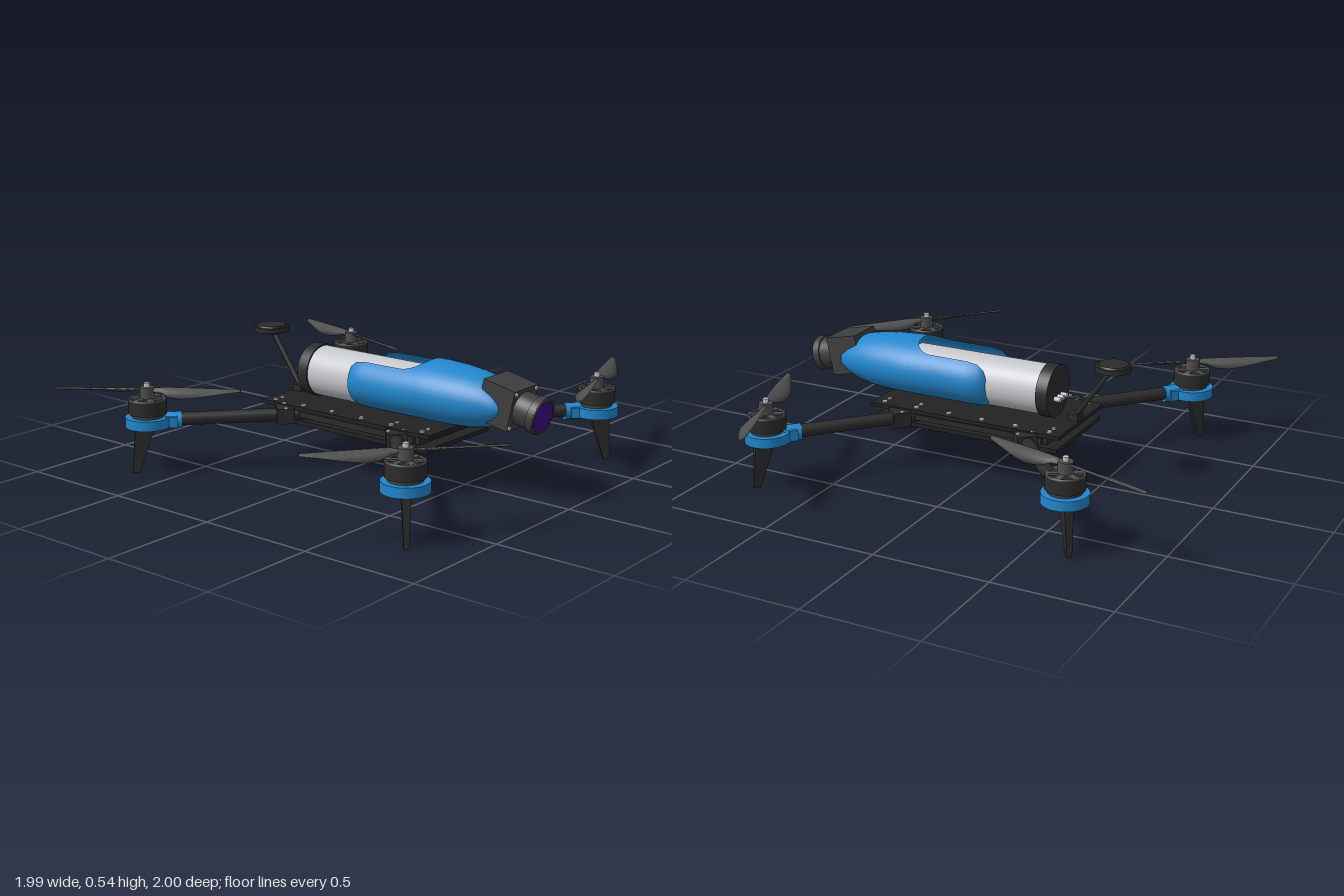
import * as THREE from 'three';

const mat = (name, color, side = THREE.FrontSide) => {
  const m = new THREE.MeshStandardMaterial({ color, side });
  m.name = name;
  return m;
};

export function createModel() {
  const blue = mat('blue', 0x2186cc, THREE.DoubleSide);
  const black = mat('black', 0x2b2b2b);
  const carbon = mat('carbon', 0x222222);
  const grey = mat('grey', 0x505050, THREE.DoubleSide);
  const darkGrey = mat('darkGrey', 0x3e3e3e);
  const silver = mat('silver', 0xc6c7cb);
  const purple = mat('purple', 0x3d0a85);

  const root = new THREE.Group();
  root.name = 'quadcopter';
  root.position.x = -0.035;

  const add = (parent, name, geo, material, x = 0, y = 0, z = 0) => {
    const m = new THREE.Mesh(geo, material);
    m.name = name;
    m.position.set(x, y, z);
    parent.add(m);
    return m;
  };
  const box = (w, h, d) => new THREE.BoxGeometry(w, h, d);
  const cyl = (r, h, n = 32, r2 = r) => new THREE.CylinderGeometry(r, r2, h, n);
  const cylX = (r, h, n = 20) => cyl(r, h, n).rotateZ(Math.PI / 2);
  const cylZ = (r, h, n = 40, r2 = r) => cyl(r, h, n, r2).rotateX(Math.PI / 2);

  // Skin a list of equally long cross-sections
  const loft = (rings, closed) => {
    const n = rings[0].length, pos = rings.flat(2), idx = [];
    for (let i = 0; i < rings.length - 1; i++) {
      for (let j = 0; j < (closed ? n : n - 1); j++) {
        const k = (j + 1) % n, a = i * n + j, b = i * n + k;
        idx.push(a, b, a + n, b, b + n, a + n);
      }
    }
    const g = new THREE.BufferGeometry();
    g.setAttribute('position', new THREE.Float32BufferAttribute(pos, 3));
    g.setIndex(idx);
    g.computeVertexNormals();
    return g;
  };

  // ---- Frame: two plates with a core between them ----
  add(root, 'topPlate', box(0.445, 0.016, 0.895), carbon, 0, 0.257, 0.053);
  add(root, 'frameCore', box(0.38, 0.04, 0.76), black, 0, 0.228, 0.053);
  add(root, 'bottomPlate', box(0.43, 0.018, 0.87), carbon, 0, 0.195, 0.053);
  for (const s of [-1, 1]) {
    add(root, 'sideRail', box(0.018, 0.025, 0.72), black, s * 0.2, 0.228, 0.053);
    for (let i = 0; i < 6; i++) {
      add(root, 'plateBolt', cyl(0.011, 0.008, 10), silver, s * 0.192, 0.268, -0.338 + i * 0.157);
    }
    for (const z of [-0.338, 0.29, 0.447]) {
      add(root, 'plateBolt', cyl(0.009, 0.008, 10), silver, s * 0.152, 0.268, z);
    }
  }

  // ---- Propeller blade, swept to one side and twisted ----
  const bladeGeo = (s) => loft([
    // radius, bulging edge, straight edge, pitch
    [0.015, 0.012, 0.012, 0.5], [0.06, 0.02, 0.018, 0.55], [0.1, 0.047, 0.02, 0.5],
    [0.15, 0.06, 0.02, 0.42], [0.21, 0.056, 0.02, 0.34], [0.28, 0.04, 0.018, 0.26],
    [0.34, 0.024, 0.015, 0.18], [0.38, 0.014, 0.013, 0.12], [0.392, 0.004, 0.006, 0.1],
  ].map(([r, a, b, p]) => {
    const t = 0.006, c = Math.cos(p), q = Math.sin(p);
    return [[-a, 0], [-a * 0.4, t], [b * 0.5, t], [b, 0], [b * 0.5, -t * 0.5], [-a * 0.4, -t * 0.5]]
      .map(([u, v]) => [r, v * c + u * q, s * (u * c - v * q)]);
  }), true);
  const blades = { '-1': bladeGeo(1), '1': bladeGeo(-1) };

  // ---- Landing leg, tapering and leaning outwards ----
  const legGeo = box(1, 0.21, 1);
  const lp = legGeo.attributes.position;
  for (let i = 0; i < lp.count; i++) {
    const top = lp.getY(i) > 0;
    lp.setX(i, lp.getX(i) * (top ? 0.085 : 0.03) + (top ? 0.012 : 0.056));
    lp.setZ(i, lp.getZ(i) * (top ? 0.038 : 0.02));
  }
  legGeo.computeVertexNormals();

  // ---- Four arms with motor, propeller and leg ----
  const propAngles = {
    '-1,1': Math.atan2(48, -54), '1,1': Math.atan2(26, 69),
    '1,-1': Math.atan2(69, 21), '-1,-1': Math.atan2(58, -41),
  };
  for (const sx of [-1, 1]) for (const sz of [-1, 1]) {
    const corner = new THREE.Group();
    corner.name = 'armAssembly';
    corner.position.set(sx * 0.665, 0, 0.05 + sz * 0.68);
    root.add(corner);

    // Radial parts, local +x pointing away from the frame
    const radial = new THREE.Group();
    radial.name = 'arm';
    radial.rotation.y = Math.atan2(-sz * 0.39, sx * 0.44);
    corner.add(radial);
    add(radial, 'armTube', cylX(0.028, 0.58), black, -0.37, 0.226, 0);
    add(radial, 'armSleeve', cylX(0.036, 0.07), blue, -0.105, 0.222, 0);
    add(radial, 'sleeveBlock', box(0.06, 0.046, 0.085), blue, -0.09, 0.222, 0);
    add(radial, 'frameClamp', box(0.075, 0.066, 0.085), black, -0.575, 0.226, 0);
    for (const s of [-1, 1]) {
      add(radial, 'clampBolt', cyl(0.009, 0.008, 10), silver, -0.575, 0.261, s * 0.032);
    }
    add(radial, 'leg', legGeo, black, 0, 0.105, 0);

    // Motor
    add(corner, 'motorMount', cyl(0.095, 0.042, 40), blue, 0, 0.223, 0);
    add(corner, 'motorBase', cyl(0.068, 0.02, 32), darkGrey, 0, 0.252, 0);
    add(corner, 'motorBell', cyl(0.08, 0.058, 40), black, 0, 0.288, 0);
    add(corner, 'bellRim', new THREE.TorusGeometry(0.073, 0.007, 8, 40).rotateX(Math.PI / 2),
      darkGrey, 0, 0.317, 0);
    for (let i = 0; i < 6; i++) {
      const a = i * Math.PI / 3;
      const spoke = add(corner, 'bellSpoke', box(0.05, 0.008, 0.026), grey,
        Math.cos(a) * 0.047, 0.32, -Math.sin(a) * 0.047);
      spoke.rotation.y = a;
    }

    // Propeller
    add(corner, 'propellerHub', cyl(0.03, 0.05, 24), grey, 0, 0.345, 0);
    add(corner, 'propellerNut', cyl(0.014, 0.02, 6), silver, 0, 0.378, 0);
    for (const turn of [0, Math.PI]) {
      const b = add(corner, 'propellerBlade', blades[sx * sz * -1 > 0 ? '-1' : '1'], grey, 0, 0.357, 0);
      b.rotation.y = propAngles[`${sx},${sz}`] + turn;
    }
  }

  // ---- Fuselage shell with a rounded slot over the canister ----
  const profile = [ // z, half width, top, bottom
    [0, 0.116, 0.487, 0.275], [0.012, 0.135, 0.5, 0.27], [0.04, 0.152, 0.511, 0.266],
    [0.09, 0.16, 0.515, 0.265], [0.4, 0.16, 0.517, 0.265], [0.5, 0.151, 0.512, 0.266],
    [0.58, 0.138, 0.503, 0.27], [0.65, 0.121, 0.488, 0.283], [0.7, 0.106, 0.462, 0.304],
    [0.73, 0.092, 0.435, 0.328], [0.745, 0.075, 0.41, 0.352], [0.748, 0, 0.381, 0.38],
  ];
  const slot = (z) => z >= 0.36 ? 0
    : z < 0.26 ? 0.11 : 0.11 * Math.pow(1 - Math.pow((z - 0.26) / 0.1, 2.4), 1 / 2.4);
  const stations = profile.map((p) => p[0]);
  for (let i = 0; i <= 20; i++) stations.push(0.2605 + i * 0.005);
  stations.push(0.3585, 0.3598, 0.36);
  stations.sort((a, b) => a - b);
  const rings = stations.map((z) => {
    let i = 0;
    while (i < profile.length - 2 && z > profile[i + 1][0]) i++;
    const A = profile[i], B = profile[i + 1], t = (z - A[0]) / (B[0] - A[0]);
    const [w, top, bot] = [1, 2, 3].map((k) => A[k] + (B[k] - A[k]) * t);
    const a0 = w > 0 ? Math.asin(Math.min(1, slot(z) / w)) : 0;
    return Array.from({ length: 49 }, (_, j) => {
      const a = a0 + (2 * Math.PI - 2 * a0) * j / 48;
      return [w * Math.sin(a), (top + bot) / 2 + (top - bot) / 2 * Math.cos(a), z];
    });
  });
  add(root, 'fuselageShell', loft(rings, false), blue);

  // ---- Canister with end cap and connector pins ----
  add(root, 'canister', cylZ(0.108, 0.62), silver, 0, 0.375, 0.07);
  add(root, 'canisterCap', cylZ(0.114, 0.052), black, 0, 0.375, -0.258);
  for (let i = -1; i <= 1; i++) {
    add(root, 'connectorPin', cylZ(0.011, 0.03, 12), silver, i * 0.032, 0.35, -0.297);
  }

  // ---- Nose camera, tipped slightly downwards ----
  const camera = new THREE.Group();
  camera.name = 'camera';
  camera.position.set(0, 0.4, 0.72);
  camera.rotation.x = 0.21;
  root.add(camera);
  add(camera, 'cameraBody', box(0.166, 0.17, 0.15), darkGrey);
  add(camera, 'lensBarrel', cylZ(0.07, 0.075), darkGrey, 0, 0, 0.11);
  add(camera, 'lensRing', cylZ(0.077, 0.03), darkGrey, 0, 0, 0.155);
  add(camera, 'lensBezel', new THREE.TorusGeometry(0.069, 0.008, 8, 40), black, 0, 0, 0.169);
  add(camera, 'lensGlass', cylZ(0.064, 0.006), purple, 0, 0, 0.171);
  for (const sx of [-1, 1]) for (const sy of [-1, 1]) {
    add(camera, 'cameraScrew', cylZ(0.009, 0.008, 10), silver, sx * 0.07, sy * 0.072, 0.077);
  }

  // ---- Rear antenna: foot, slanted mast and disc ----
  add(root, 'antennaFoot', box(0.055, 0.03, 0.045), black, 0, 0.278, -0.365);
  const mast = add(root, 'antennaMast', cyl(0.011, 0.29, 12), black, 0, 0.388, -0.442);
  mast.rotation.x = -Math.atan2(0.165, 0.235);
  add(root, 'antennaDisc', cyl(0.075, 0.022, 40), black, 0, 0.518, -0.533);
  add(root, 'antennaDiscTop', cyl(0.062, 0.008, 40, 0.068), black, 0, 0.532, -0.533);
  add(root, 'antennaCollar', cyl(0.035, 0.014, 24), black, 0, 0.502, -0.53);

  return root;
}
